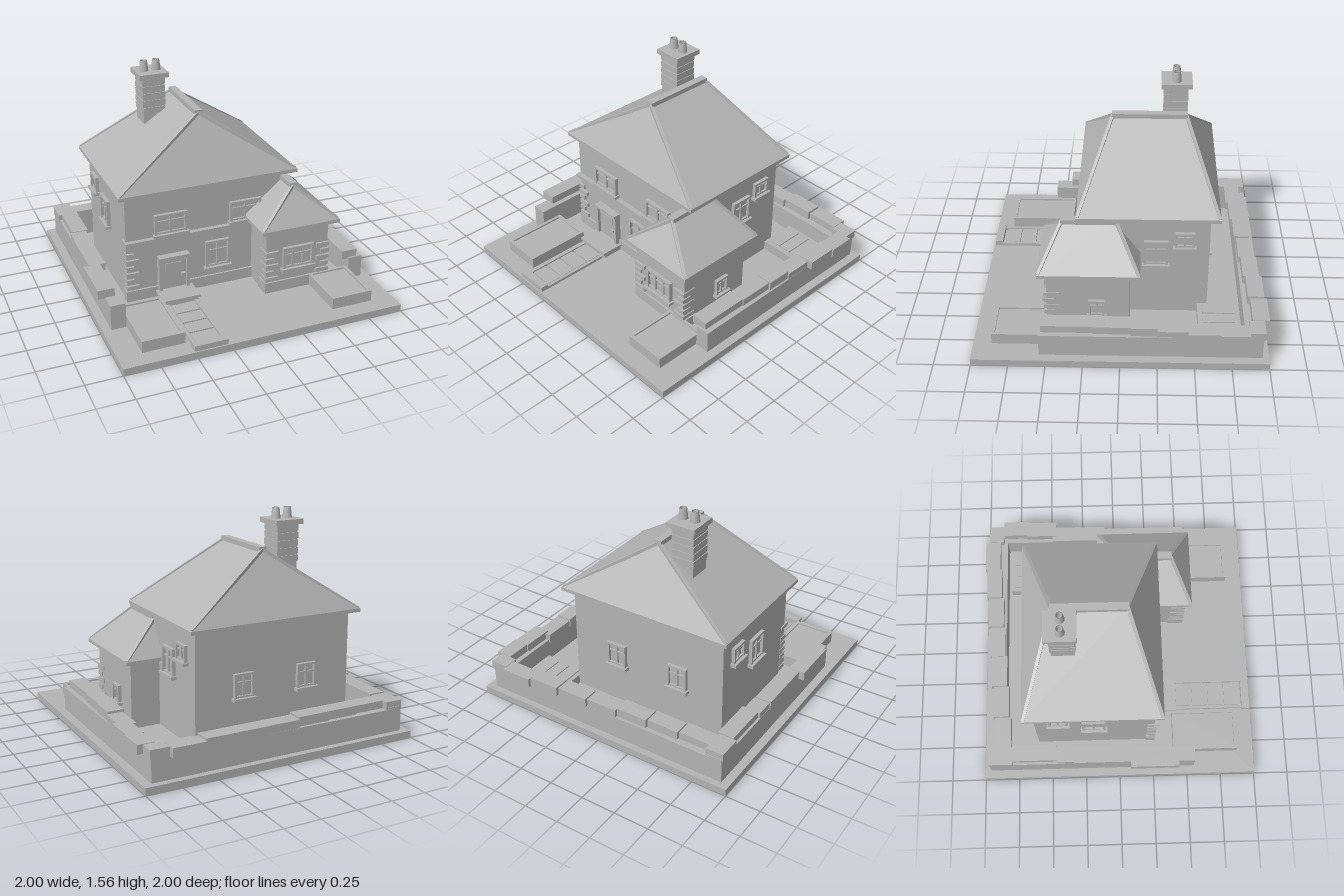
import * as THREE from 'three';

export function createModel() {
  const house = new THREE.Group();
  house.name = 'house';
  const stone = new THREE.MeshStandardMaterial({ color: 0xb4b4b4 });
  stone.name = 'stone grey';

  function add(parent, name, geometry) {
    const m = new THREE.Mesh(geometry, stone);
    m.name = name;
    parent.add(m);
    return m;
  }
  // Box given by its extents on each axis
  function box(name, x0, x1, y0, y1, z0, z1, parent = house) {
    const m = add(parent, name, new THREE.BoxGeometry(x1 - x0, y1 - y0, z1 - z0));
    m.position.set((x0 + x1) / 2, (y0 + y1) / 2, (z0 + z1) / 2);
    return m;
  }
  // Square bar between two points
  function bar(name, a, b, size, parent) {
    const p = new THREE.Vector3(...a), q = new THREE.Vector3(...b);
    const m = add(parent, name, new THREE.BoxGeometry(size, size, p.distanceTo(q)));
    m.position.copy(p).lerp(q, 0.5);
    m.lookAt(q);
  }

  // Hipped roof whose ridge runs along z, with eaves, hip tiles and ridge tiles
  function hipRoof(name, x0, x1, z0, z1, y0, xr, zr0, zr1, yr) {
    const g = new THREE.Group();
    g.name = name;
    house.add(g);
    const ye = y0 + 0.025;
    box('eaves', x0, x1, y0, ye, z0, z1, g);
    const A = [x0, ye, z0], B = [x1, ye, z0], C = [x1, ye, z1], D = [x0, ye, z1];
    const R = [xr, yr, zr0], F = [xr, yr, zr1];
    const tris = [D, C, F, B, A, R, A, D, F, A, F, R, C, B, R, C, R, F];
    const geo = new THREE.BufferGeometry();
    geo.setAttribute('position', new THREE.Float32BufferAttribute(tris.flat(), 3));
    geo.computeVertexNormals();
    add(g, 'slopes', geo);
    const inX = (x) => x + Math.sign(xr - x) * 0.012;
    for (const [p, r, s] of [[A, R, 1], [B, R, 1], [C, F, -1], [D, F, -1]])
      bar('hipTiles', [inX(p[0]), ye, p[2] + s * 0.012], r, 0.022, g);
    box('ridgeTiles', xr - 0.027, xr + 0.027, yr - 0.015, yr + 0.018, zr0 - 0.01, zr1 + 0.01, g);
  }

  // Window on a wall; angle turns it from facing +z
  function windowUnit(name, x, y0, y1, z, width, angle = 0, cols = 2) {
    const g = new THREE.Group();
    g.name = name;
    g.position.set(x, 0, z);
    g.rotation.y = angle;
    house.add(g);
    const w = width / 2, t = 0.016, b = y0 + 0.022;
    box('sill', -w - 0.012, w + 0.012, y0, b, -0.01, 0.042, g);
    box('glass', -w, w, b, y1, -0.005, 0.004, g);
    box('jamb', -w, -w + t, b, y1, -0.01, 0.025, g);
    box('jamb', w - t, w, b, y1, -0.01, 0.025, g);
    box('lintel', -w, w, y1 - t, y1, -0.01, 0.025, g);
    box('bottomRail', -w + t, w - t, b, b + 0.012, -0.01, 0.018, g);
    for (let i = 1; i < cols; i++) {
      const c = -w + (width * i) / cols;
      box('mullion', c - 0.006, c + 0.006, b, y1 - t, -0.01, 0.016, g);
    }
    const ty = b + (y1 - b) * 0.62;
    box('transom', -w + t, w - t, ty - 0.005, ty + 0.005, -0.01, 0.014, g);
  }

  // Ground and house walls
  box('base', -1, 1, 0, 0.05, -1, 1);
  box('mainWalls', -0.73, 0.46, 0.05, 0.845, -0.6, 0.25);
  box('wingWalls', 0.2, 0.675, 0.05, 0.54, -0.06, 0.505);
  box('frontPlinth', -0.74, 0.2, 0.05, 0.13, 0.2, 0.265);
  box('wingPlinth', 0.19, 0.685, 0.05, 0.13, 0.4, 0.52);
  box('stringCourse', -0.74, 0.2, 0.488, 0.513, 0.2, 0.285);

  // Roofs
  hipRoof('mainRoof', -0.785, 0.52, -0.665, 0.305, 0.845, -0.13, -0.435, 0.07, 1.3);
  hipRoof('wingRoof', 0.145, 0.735, -0.13, 0.56, 0.53, 0.44, 0.04, 0.4, 0.8);

  // Chimney with brick courses and open pots
  box('chimneyStack', -0.4, -0.245, 1.05, 1.46, -0.445, -0.285);
  for (let i = 0; i < 5; i++) {
    const y = 1.2 + i * 0.052;
    box('brickCourse', -0.405, -0.24, y, y + 0.042, -0.45, -0.28);
  }
  box('chimneyCap', -0.427, -0.215, 1.455, 1.49, -0.478, -0.262);
  for (const x of [-0.365, -0.275]) {
    const profile = [[0.033, 0], [0.025, 0.075], [0.019, 0.075], [0.019, 0.005], [0, 0.005]];
    const pot = add(house, 'chimneyPot',
      new THREE.LatheGeometry(profile.map((p) => new THREE.Vector2(...p)), 16));
    pot.position.set(x, 1.488, -0.368);
  }

  // Windows
  windowUnit('upperLeftWindow', -0.41, 0.513, 0.68, 0.25, 0.235);
  windowUnit('upperRightWindow', 0.145, 0.513, 0.68, 0.25, 0.235);
  windowUnit('lowerFrontWindow', -0.065, 0.185, 0.405, 0.25, 0.18);
  windowUnit('wingFrontWindow', 0.44, 0.205, 0.385, 0.505, 0.235, 0, 3);
  windowUnit('wingSideWindow', 0.675, 0.17, 0.315, 0.165, 0.11, Math.PI / 2);
  for (const s of [-1, 1]) {
    const x = s < 0 ? -0.73 : 0.46;
    windowUnit('sideSmallWindow', x, 0.595, 0.73, -0.43, 0.135, s * Math.PI / 2);
    windowUnit('sideTallWindow', x, 0.45, 0.66, s < 0 ? -0.18 : -0.235, 0.165, s * Math.PI / 2);
  }
  for (const x of [-0.385, 0.105]) windowUnit('backWindow', x, 0.335, 0.525, -0.6, 0.15, Math.PI);

  // Front door
  box('door', -0.49, -0.305, 0.1, 0.345, 0.24, 0.272);
  box('doorJamb', -0.51, -0.488, 0.1, 0.362, 0.24, 0.295);
  box('doorJamb', -0.307, -0.285, 0.1, 0.362, 0.24, 0.295);
  box('doorLintel', -0.51, -0.285, 0.342, 0.362, 0.24, 0.305);
  box('doorPanel', -0.46, -0.34, 0.24, 0.3, 0.27, 0.278);
  box('doorHandle', -0.345, -0.315, 0.195, 0.212, 0.27, 0.295);

  // Corner stones
  for (let i = 0; i < 6; i++) {
    const y = 0.14 + i * 0.05, w = i % 2 ? 0.055 : 0.09;
    const rows = [[-0.735, -0.735 + w, 0.2, 0.268]];
    if (i < 5) rows.push([0.193, 0.2 + w, 0.505 - w, 0.522], [0.675 - w, 0.682, 0.505 - w, 0.522]);
    for (const [x0, x1, z0, z1] of rows) box('cornerStone', x0, x1, y, y + 0.03, z0, z1);
  }

  // Door step and paved path
  box('doorStep', -0.51, -0.27, 0.05, 0.085, 0.25, 0.42);
  box('doorStepTop', -0.53, -0.26, 0.085, 0.102, 0.25, 0.435);
  for (const x of [-0.51, -0.305]) box('pathEdge', x, x + 0.022, 0.05, 0.07, 0.43, 0.94);
  for (let i = 0; i < 4; i++) {
    const z = 0.44 + i * 0.122;
    box('pathSlab', -0.482, -0.312, 0.05, 0.066, z, z + 0.108);
  }
  box('pathEndStone', -0.52, -0.285, 0.05, 0.088, 0.935, 0.99);

  // Planters with a raised rim
  function planter(x0, x1, z0, z1) {
    const t = 0.022;
    box('planterBed', x0 + t, x1 - t, 0.05, 0.12, z0 + t, z1 - t);
    for (const x of [x0, x1 - t]) box('planterSide', x, x + t, 0.05, 0.132, z0, z1);
    for (const z of [z0, z1 - t]) box('planterEnd', x0 + t, x1 - t, 0.05, 0.132, z, z + t);
  }
  planter(-0.835, -0.54, 0.4, 0.875);
  planter(0.535, 0.835, 0.5, 0.875);

  // Cold frame in the back corner
  box('coldFrame', 0.46, 0.8, 0.05, 0.12, -0.81, -0.53);
  for (let i = 0; i < 3; i++) {
    const x = 0.49 + i * 0.097;
    box('coldFramePane', x, x + 0.085, 0.12, 0.128, -0.785, -0.565);
  }

  // Garden walls
  box('leftGardenWall', -0.94, -0.835, 0.05, 0.23, -0.955, 0.55);
  box('rightGardenWall', 0.835, 0.94, 0.05, 0.215, -0.955, 0.545);
  box('backGardenWall', -0.94, 0.94, 0.05, 0.215, -0.955, -0.835);

  // Staggered coping stones: centre across the wall, start, end, bottom height
  const sideStones = [
    [0.93, -0.86, -0.67, 0.21], [0.92, -0.68, -0.45, 0.21], [0.88, -0.48, -0.25, 0.198],
    [0.87, -0.25, -0.07, 0.215], [0.855, -0.07, 0.18, 0.208], [0.845, 0.18, 0.53, 0.205],
    [-0.865, -0.78, -0.46, 0.215], [-0.88, -0.46, -0.33, 0.21],
    [-0.89, -0.33, 0.08, 0.22], [-0.93, 0.08, 0.43, 0.225],
  ];
  for (const [x, z0, z1, y] of sideStones)
    box('sideCopingStone', x - 0.058, x + 0.058, y, y + 0.064, z0, z1);
  for (let i = 0; i < 7; i++) {
    const x = -0.823 + i * 0.235, z = -0.85 - i * 0.0155, y = 0.205 + (i % 3) * 0.006;
    box('backCopingStone', x, x + 0.23, y, y + 0.065, z - 0.057, z + 0.057);
  }
  box('cornerCopingStone', -0.945, -0.82, 0.21, 0.27, -0.95, -0.78);
  box('cornerCopingStone', 0.82, 0.95, 0.21, 0.27, -0.965, -0.86);
  return house;
}
